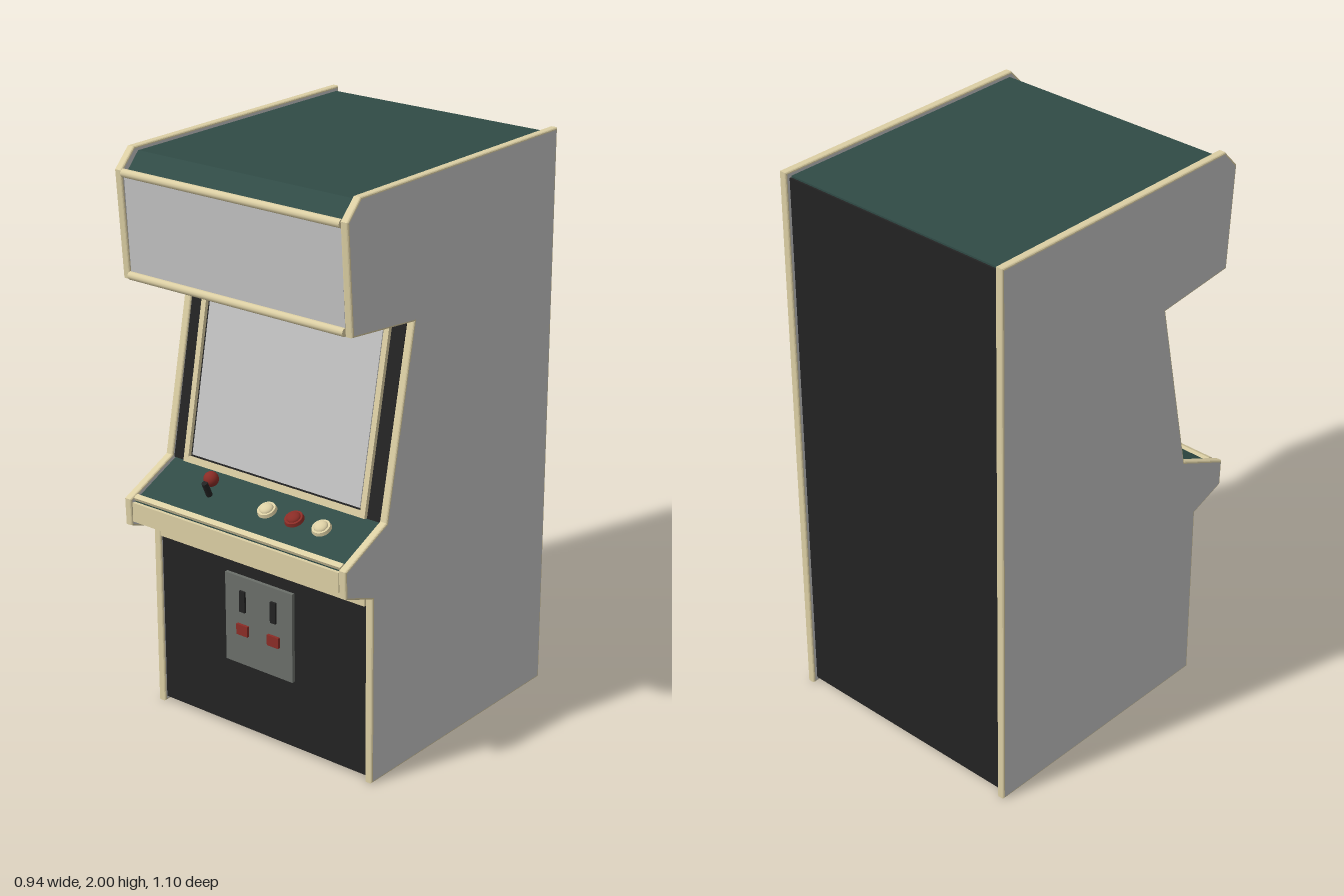
import * as THREE from 'three';

const mat = (name, color) => new THREE.MeshStandardMaterial({ name, color });

export function createModel() {
  const grey = mat('panel grey', 0xc4c4c4);
  const cream = mat('cream trim', 0xdccfa4);
  const green = mat('dark green', 0x304b46);
  const black = mat('black', 0x232323);
  const steel = mat('door grey', 0x6a6e69);
  const red = mat('red', 0x8a2c26);
  const model = new THREE.Group();
  model.name = 'arcadeCabinet';

  const add = (name, geometry, material, x = 0, y = 0, z = 0, parent = model) => {
    const mesh = new THREE.Mesh(geometry, material);
    mesh.name = name;
    mesh.position.set(x, y, z);
    parent.add(mesh);
    return mesh;
  };

  // Extrudes a [z, y] profile across x, centred on x = 0
  const profile = (points, width, bevel) => {
    const shape = new THREE.Shape(points.map(([z, y]) => new THREE.Vector2(z, y)));
    const depth = width - 2 * bevel;
    return new THREE.ExtrudeGeometry(shape, {
      depth, bevelSize: bevel, bevelThickness: bevel, bevelOffset: -bevel, bevelSegments: 3,
    }).translate(0, 0, -depth / 2).rotateY(-Math.PI / 2);
  };

  // Group lying on the line between two [z, y] points: local y runs along it, local z points outward
  const surface = (name, [z0, y0], [z1, y1]) => {
    const group = new THREE.Group();
    group.name = name;
    group.position.set(0, (y0 + y1) / 2, (z0 + z1) / 2);
    group.rotation.x = Math.atan2(z1 - z0, y1 - y0);
    group.userData.length = Math.hypot(z1 - z0, y1 - y0);
    model.add(group);
    return group;
  };
  const plate = (name, group, material, w, h, t, x = 0, y = 0, lift = 0) =>
    add(name, new THREE.BoxGeometry(w, h, t), material, x, y, lift + t / 2, group);

  // Side panels: grey faces with rounded cream edges
  const side = profile([
    [-0.55, 0], [0.415, 0], [0.415, 0.665], [0.55, 0.715], [0.553, 0.81], [0.345, 0.905],
    [0.213, 1.54], [0.52, 1.57], [0.545, 1.935], [0.483, 2], [-0.55, 2],
  ], 0.03, 0.007);
  for (const s of [-1, 1]) add(s > 0 ? 'leftSidePanel' : 'rightSidePanel', side, [grey, cream], s * 0.455);

  // Body between the side panels
  const base = [0.4, 0.018], knee = [0.4, 0.675], lip = [0.535, 0.725], deck = [0.535, 0.803];
  const sill = [0.332, 0.895], hood = [0.2, 1.555], brow = [0.508, 1.588], crown = [0.527, 1.922];
  const body = [[-0.53, 0.018], base, knee, lip, deck, sill, hood, brow, crown, [0.468, 1.986], [-0.53, 1.986]];
  add('body', profile(body, 0.88, 0.006), green);

  const back = surface('back', [-0.53, 1.98], [-0.53, 0.02]);
  plate('backPanel', back, black, 0.876, back.userData.length, 0.006);

  // Lit sign with trim bars
  const sign = surface('sign', brow, crown);
  plate('signPanel', sign, grey, 0.876, sign.userData.length, 0.008);
  const bar = new THREE.CylinderGeometry(0.014, 0.014, 0.88, 12).rotateZ(Math.PI / 2);
  add('signTopTrim', bar, cream, 0, 1.926, 0.536);
  add('signBottomTrim', bar, cream, 0, 1.583, 0.519);

  // Screen: black bezel, cream frame and grey glass
  const screen = surface('screen', sill, hood);
  plate('bezel', screen, black, 0.876, screen.userData.length, 0.006);
  const rect = (path, w, h) => path.moveTo(-w, -h).lineTo(w, -h).lineTo(w, h).lineTo(-w, h).closePath();
  const frame = rect(new THREE.Shape(), 0.385, 0.328);
  frame.holes.push(rect(new THREE.Path(), 0.365, 0.308));
  add('screenFrame', new THREE.ExtrudeGeometry(frame, { depth: 0.014, bevelEnabled: false }),
    cream, 0, -0.008, 0.006, screen);
  plate('screenGlass', screen, grey, 0.712, 0.6, 0.005, 0, -0.008, 0.006);

  // Control deck: trim, front rail, buttons and joystick
  const controls = surface('controls', deck, sill);
  plate('deckTrim', controls, cream, 0.876, 0.02, 0.012, 0, -0.102);
  const rail = surface('frontRail', lip, deck);
  plate('railFace', rail, cream, 0.876, 0.068, 0.012, 0, 0);

  const rim = new THREE.CylinderGeometry(0.031, 0.034, 0.012, 24).rotateX(Math.PI / 2);
  const cap = new THREE.SphereGeometry(0.024, 24, 8, 0, Math.PI * 2, 0, Math.PI / 2)
    .scale(1, 0.55, 1).rotateX(Math.PI / 2);
  [[0.04, cream], [0.154, red], [0.267, cream]].forEach(([x, m], i) => {
    add('buttonRim' + i, rim, m, x, 0.016, 0.006, controls);
    add('buttonCap' + i, cap, m, x, 0.016, 0.011, controls);
  });
  const shaft = new THREE.CylinderGeometry(0.011, 0.011, 0.06, 12).rotateX(Math.PI / 2);
  add('stickShaft', shaft, black, -0.2, 0.004, 0.025, controls);
  add('stickBall', new THREE.SphereGeometry(0.026, 24, 16), red, -0.2, 0.905, 0.42);

  // Lower front: kick panel, trim and coin door
  const front = surface('lowerFront', base, [0.4, 0.672]);
  plate('kickPanel', front, black, 0.876, front.userData.length, 0.007);
  add('kneeTrim', new THREE.BoxGeometry(0.876, 0.024, 0.02), cream, 0, 0.645, 0.407);
  add('coinDoor', new THREE.BoxGeometry(0.288, 0.322, 0.02), steel, -0.003, 0.425, 0.41);
  for (const x of [-0.069, 0.064]) {
    add('coinSlot', new THREE.BoxGeometry(0.023, 0.076, 0.01), black, x, 0.499, 0.423);
    add('coinReturn', new THREE.BoxGeometry(0.048, 0.038, 0.012), red, x, 0.395, 0.424);
  }
  return model;
}
